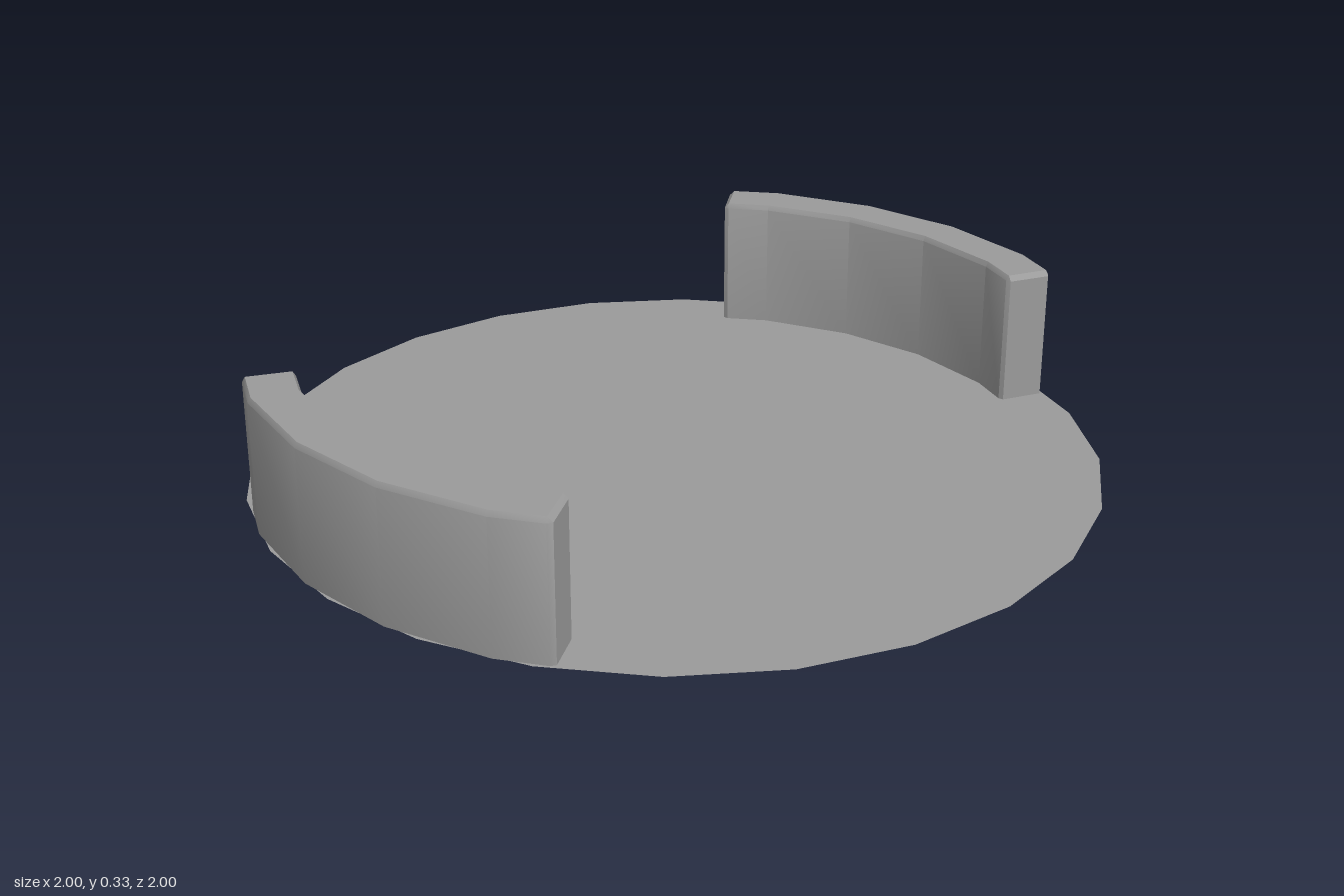
import * as THREE from 'three';
import { toCreasedNormals } from 'three/addons/utils/BufferGeometryUtils.js';

const rad = THREE.MathUtils.degToRad;
const STEP = 15;       // degrees per facet
const INNER = 0.88, OUTER = 0.999, HEIGHT = 0.327;
const BEVEL = 0.012;   // bevel height, and its length at the wall ends
const INSET = 0.007;   // bevel width across the wall

// Shrinks a radius so that points between facet corners stay on the chord
function chordScale(deg) {
  const mid = (Math.floor(deg / STEP) + 0.5) * STEP;
  return Math.cos(rad(STEP / 2)) / Math.cos(rad(deg - mid));
}

// Curved wall lofted through radial sections, bevelled on top and at both ends
function wallGeometry(start, end) {
  const bevelDeg = THREE.MathUtils.radToDeg(BEVEL / OUTER);
  const stations = [start, start + bevelDeg];
  for (let a = Math.ceil(start / STEP) * STEP; a < end; a += STEP) stations.push(a);
  stations.push(end - bevelDeg, end);

  const positions = [], index = [], last = stations.length - 1, n = 6;
  stations.forEach((deg, i) => {
    const atEnd = i === 0 || i === last;
    const ri = INNER + (atEnd ? INSET : 0), ro = OUTER - (atEnd ? INSET : 0);
    const b = atEnd ? 0 : INSET, shoulder = HEIGHT - BEVEL;
    const top = atEnd ? shoulder : HEIGHT;
    const section = [[ri, 0], [ri, shoulder], [ri + b, top], [ro - b, top], [ro, shoulder], [ro, 0]];
    const k = chordScale(deg);
    for (const [r, y] of section) {
      positions.push(r * k * Math.cos(rad(deg)), y, r * k * Math.sin(rad(deg)));
    }
  });
  for (let i = 0; i < last; i++) {
    for (let j = 0; j < n - 1; j++) {
      const a = i * n + j, c = a + n;
      index.push(a, c, a + 1, c, c + 1, a + 1);
    }
  }
  // End faces
  const e = last * n;
  index.push(0, 1, 4, 0, 4, 5, e, e + 4, e + 1, e, e + 5, e + 4);

  const geometry = new THREE.BufferGeometry();
  geometry.setAttribute('position', new THREE.Float32BufferAttribute(positions, 3));
  geometry.setIndex(index);
  return toCreasedNormals(geometry, rad(32));
}

export function createModel() {
  const model = new THREE.Group();
  model.name = 'discWithCurvedWalls';
  const material = new THREE.MeshStandardMaterial({ color: 0x9b9b9b, side: THREE.DoubleSide });

  // Flat floor disc
  const floor = new THREE.Mesh(new THREE.CircleGeometry(1, 24).rotateX(-Math.PI / 2), material);
  floor.name = 'floorDisc';
  model.add(floor);

  // Two copies of one wall, turned a little off opposite
  const geometry = wallGeometry(-37.6, 22.4);
  for (const [name, turn] of [['leftWall', 0], ['rightWall', 185]]) {
    const wall = new THREE.Mesh(geometry, material);
    wall.name = name;
    wall.rotation.y = -rad(turn);
    model.add(wall);
  }
  return model;
}
